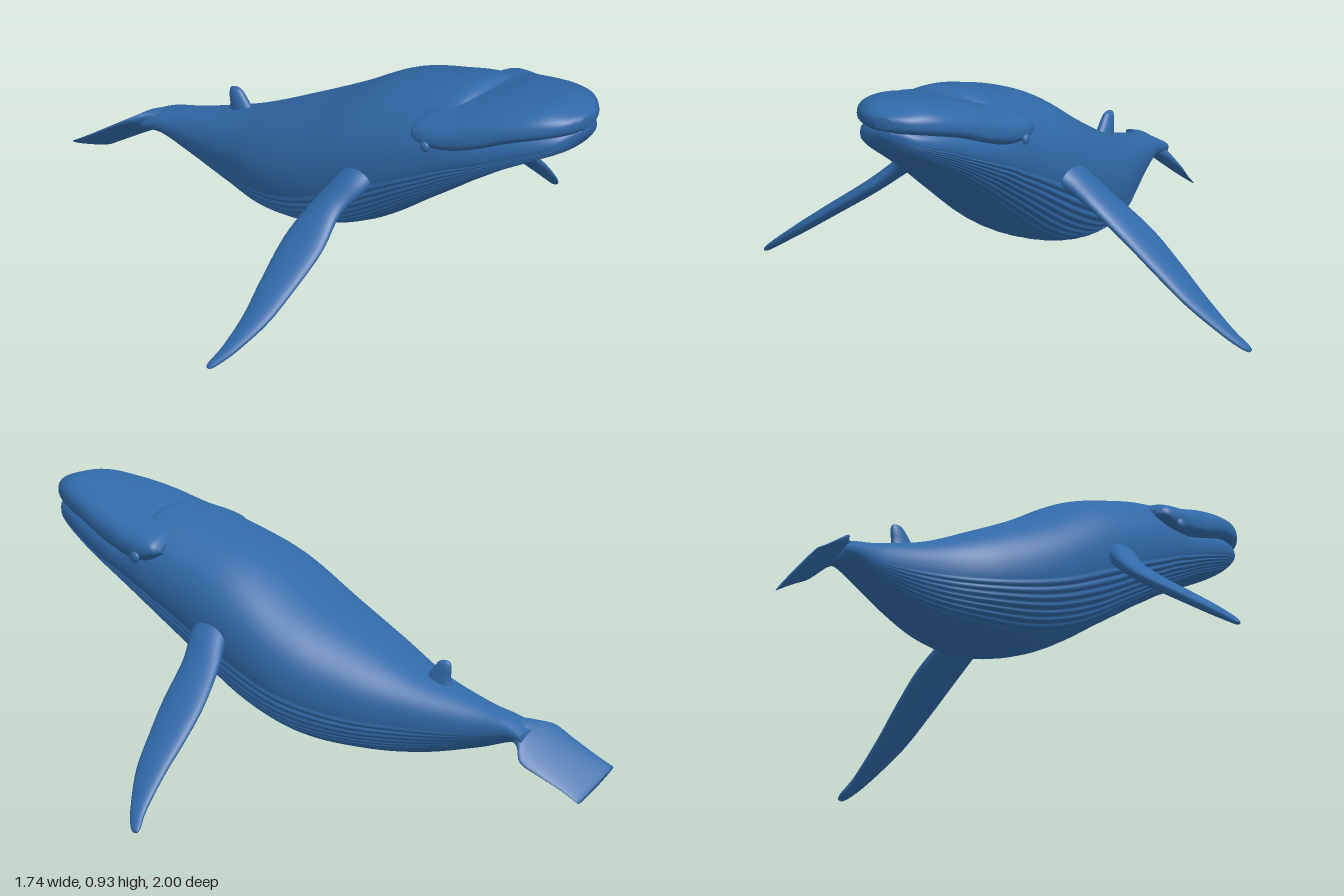
import * as THREE from 'three';

const skin = new THREE.MeshStandardMaterial({ color: 0x3069a8 });
skin.name = 'ocean blue';

// Smooth interpolation of rows of numbers, `steps` rows per span
function smoothRows(rows, steps) {
  const out = [], last = rows.length - 1;
  for (let i = 0; i < last; i++) {
    const a = rows[Math.max(i - 1, 0)], b = rows[i], c = rows[i + 1], d = rows[Math.min(i + 2, last)];
    for (let s = 0; s < steps; s++) {
      const t = s / steps;
      out.push(b.map((p, k) => p + 0.5 * t * (c[k] - a[k] + t * (2 * a[k] - 5 * p + 4 * c[k] - d[k]
        + t * (3 * (p - c[k]) + d[k] - a[k])))));
    }
  }
  out.push(rows[last]);
  return out;
}

// Closed skin over equal-sized rings of points, with both ends capped
function loft(name, rings) {
  const n = rings[0].length, pos = rings.flat(2), index = [];
  for (let r = 0; r < rings.length - 1; r++) for (let i = 0; i < n; i++) {
    const a = r * n + i, b = r * n + (i + 1) % n;
    index.push(a, b, a + n, b, b + n, a + n);
  }
  [0, rings.length - 1].forEach((r, end) => {
    const centre = pos.length / 3;
    for (let k = 0; k < 3; k++) pos.push(rings[r].reduce((s, p) => s + p[k], 0) / n);
    for (let i = 0; i < n; i++) {
      const a = r * n + i, b = r * n + (i + 1) % n;
      index.push(...(end ? [a, b, centre] : [b, a, centre]));
    }
  });
  // Turn the faces outward if the rings ran the other way
  const v = i => new THREE.Vector3(pos[3 * i], pos[3 * i + 1], pos[3 * i + 2]);
  let volume = 0;
  for (let i = 0; i < index.length; i += 3) volume += v(index[i]).dot(v(index[i + 1]).cross(v(index[i + 2])));
  if (volume < 0) index.reverse();
  const g = new THREE.BufferGeometry();
  g.setAttribute('position', new THREE.Float32BufferAttribute(pos, 3));
  g.setIndex(index);
  g.computeVertexNormals();
  const mesh = new THREE.Mesh(g, skin);
  mesh.name = name;
  return mesh;
}

const ring = (n, point) => Array.from({ length: n }, (_, i) => point(i / n * Math.PI * 2));
const bend = (value, power) => Math.sign(value) * Math.abs(value) ** power;

// Rounded section across z from [z, centre x, half width, top, widest y, bottom]
function section([z, cx, hw, top, mid, bottom], n, power, scale = () => 1) {
  return ring(n, a => {
    const s = bend(Math.sin(a), power), k = scale(a, z);
    return [cx + k * hw * bend(Math.cos(a), power), mid + k * s * (s > 0 ? top - mid : mid - bottom), z];
  });
}

// Lengthwise throat grooves on the lower half, fading towards the tail
function pleats(a, z) {
  const below = (a - Math.PI) / Math.PI;
  if (below < 0.07 || below > 0.93) return 1;
  const fade = THREE.MathUtils.smoothstep(z, -0.78, -0.3);
  return 1 + fade * (0.018 - 0.05 * (1 - Math.abs(Math.sin((below - 0.07) / 0.86 * Math.PI * 22))) ** 2);
}

// Flipper from [x, y, rear z, front z, half thickness]
function flipper(name, rows, nx, ny) {
  return loft(name, smoothRows(rows, 5).map(([x, y, z0, z1, t]) => ring(28, a => {
    const o = t * Math.sin(a);
    return [x + nx * o, y + ny * o, (z0 + z1) / 2 + (z1 - z0) / 2 * Math.cos(a)];
  })));
}

export function createModel() {
  const whale = new THREE.Group();
  whale.name = 'whale';

  // Body with lower jaw and pleated belly
  const bodyRows = [
    [0.985, 0.02, 0.02, 0.86, 0.85, 0.835],
    [0.95, 0.02, 0.10, 0.87, 0.825, 0.785],
    [0.85, 0.02, 0.165, 0.875, 0.79, 0.725],
    [0.72, 0.02, 0.21, 0.855, 0.74, 0.65],
    [0.63, 0.02, 0.228, 0.835, 0.71, 0.59],
    [0.57, 0.02, 0.24, 0.877, 0.69, 0.55],
    [0.5, 0.018, 0.25, 0.872, 0.66, 0.5],
    [0.4, 0.015, 0.265, 0.845, 0.62, 0.43],
    [0.2, 0.018, 0.288, 0.775, 0.53, 0.292],
    [0, 0.018, 0.283, 0.655, 0.43, 0.212],
    [-0.2, 0.01, 0.233, 0.547, 0.36, 0.187],
    [-0.4, 0.008, 0.153, 0.447, 0.325, 0.193],
    [-0.6, -0.003, 0.086, 0.377, 0.3, 0.228],
    [-0.72, -0.012, 0.064, 0.342, 0.3, 0.258],
    [-0.79, -0.015, 0.065, 0.305, 0.285, 0.25],
  ];
  whale.add(loft('body', smoothRows(bodyRows, 7).map(r => section(r, 264, 0.92, pleats))));

  // Upper jaw, overlapping the body with a rounded lobe on each side
  const headRows = [
    [0.997, 0.02, 0.03, 0.908, 0.89, 0.87],
    [0.97, 0.02, 0.088, 0.922, 0.885, 0.85],
    [0.9, 0.02, 0.15, 0.936, 0.87, 0.825],
    [0.8, 0.018, 0.197, 0.922, 0.84, 0.79],
    [0.7, 0.016, 0.23, 0.9, 0.8, 0.745],
    [0.6, 0.018, 0.255, 0.865, 0.775, 0.71],
    [0.53, 0.02, 0.267, 0.85, 0.765, 0.712],
    [0.485, 0.02, 0.262, 0.83, 0.77, 0.735],
    [0.465, 0.02, 0.235, 0.8, 0.77, 0.755],
  ];
  whale.add(loft('upperJaw', smoothRows(headRows, 5).map(r => section(r, 80, 0.82))));

  // Eyes
  for (const side of [-1, 1]) {
    const eye = new THREE.Mesh(new THREE.SphereGeometry(0.018, 16, 12), skin);
    eye.name = side > 0 ? 'leftEye' : 'rightEye';
    eye.scale.x = 0.6;
    eye.position.set(0.02 + side * 0.265, 0.748, 0.545);
    whale.add(eye);
  }

  // Long flippers, each in its own stroke
  whale.add(flipper('leftFlipper', [
    [0.22, 0.57, 0.19, 0.34, 0.05],
    [0.3, 0.525, 0.18, 0.315, 0.037],
    [0.38, 0.455, 0.15, 0.29, 0.028],
    [0.5, 0.355, 0.122, 0.278, 0.024],
    [0.6, 0.262, 0.122, 0.262, 0.022],
    [0.7, 0.168, 0.13, 0.24, 0.018],
    [0.8, 0.072, 0.128, 0.19, 0.013],
    [0.85, 0.025, 0.115, 0.155, 0.009],
    [0.865, 0.01, 0.118, 0.135, 0.004],
  ], 0.66, 0.75));
  whale.add(flipper('rightFlipper', [
    [-0.19, 0.57, 0.2, 0.34, 0.05],
    [-0.27, 0.525, 0.2, 0.32, 0.037],
    [-0.35, 0.455, 0.165, 0.282, 0.028],
    [-0.46, 0.367, 0.143, 0.298, 0.024],
    [-0.6, 0.268, 0.162, 0.29, 0.021],
    [-0.7, 0.197, 0.18, 0.275, 0.018],
    [-0.8, 0.126, 0.18, 0.235, 0.013],
    [-0.855, 0.086, 0.168, 0.2, 0.009],
    [-0.87, 0.076, 0.172, 0.186, 0.004],
  ], -0.58, 0.81));

  // Small hooked fin on the back: [y, rear z, front z, half width]
  const finRows = [
    [0.38, -0.5, -0.34, 0.028],
    [0.43, -0.49, -0.395, 0.022],
    [0.465, -0.493, -0.425, 0.018],
    [0.487, -0.49, -0.445, 0.012],
    [0.494, -0.478, -0.458, 0.004],
  ];
  whale.add(loft('backFin', smoothRows(finRows, 4).map(([y, z0, z1, w]) => ring(24, a =>
    [0.013 + w * Math.sin(a), y, (z0 + z1) / 2 + (z1 - z0) / 2 * Math.cos(a)]))));

  // Rolled tail blade: [z, x, y, half width, half thickness]
  const tailRows = [
    [-0.73, -0.012, 0.303, 0.045, 0.03],
    [-0.775, -0.014, 0.288, 0.07, 0.03],
    [-0.81, -0.018, 0.26, 0.108, 0.022],
    [-0.87, -0.033, 0.222, 0.107, 0.016],
    [-0.94, -0.055, 0.177, 0.103, 0.012],
    [-0.998, -0.07, 0.14, 0.106, 0.007],
  ];
  const roll = 0.43, c = Math.cos(roll), s = Math.sin(roll);
  whale.add(loft('tailBlade', smoothRows(tailRows, 4).map(([z, x, y, w, t]) => ring(32, a => {
    const u = w * Math.cos(a), v = t * Math.sin(a);
    return [x + u * c + v * s, y - u * s + v * c, z];
  }))));

  return whale;
}
